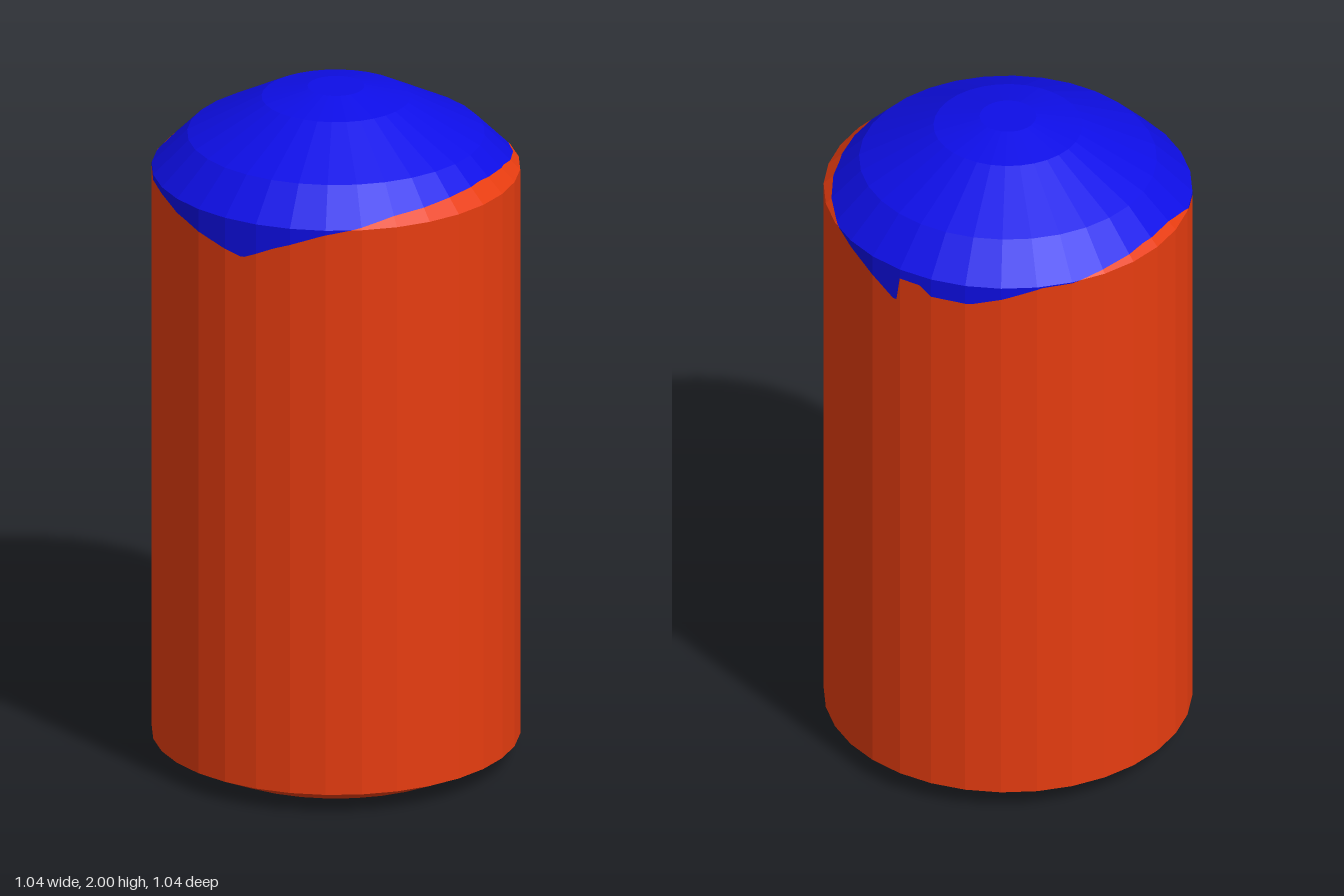
import * as THREE from 'three';

const SIDES = 32, STEPS = 8;          // facets round the body, paint samples per facet
const RIM = 1.76, SHOULDER = 1.86, R = 0.52;

// Height of the ragged paint edge by compass angle (0 = front, 90 = model's left)
const EDGE = [
  [-180, 1.757], [-168, 1.77], [-150, 1.782], [-135, 1.782], [-124, 1.765], [-120, 1.75],
  [-90, 1.74], [-75, 1.71], [-60, 1.675], [-50, 1.652], [-39, 1.695], [-23, 1.745], [0, 1.785],
  [23, 1.8], [40, 1.806], [60, 1.797], [67, 1.788], [90, 1.765], [101, 1.74], [113, 1.695],
  [121, 1.653], [122.5, 1.655], [123.5, 1.73], [131, 1.728], [135, 1.702], [148, 1.7],
  [160, 1.728], [170, 1.755], [180, 1.757],
];

function edgeHeight(deg) {
  const i = Math.max(1, EDGE.findIndex((p) => p[0] >= deg));
  const [a0, y0] = EDGE[i - 1], [a1, y1] = EDGE[i];
  return y0 + (y1 - y0) * (deg - a0) / (a1 - a0);
}

// Point on a 32-sided ring, angle given in sample steps
function ringPoint(step, r, y) {
  const facet = Math.floor(step / STEPS), t = (step - facet * STEPS) / STEPS;
  const a0 = facet * 2 * Math.PI / SIDES, a1 = (facet + 1) * 2 * Math.PI / SIDES;
  return new THREE.Vector3(
    r * THREE.MathUtils.lerp(Math.sin(a0), Math.sin(a1), t), y,
    r * THREE.MathUtils.lerp(Math.cos(a0), Math.cos(a1), t));
}

// Faceted band between two rings; lower and upper give [radius, height] at an angle
function band(lower, upper, stride = 1) {
  const pos = [], half = SIDES * STEPS / 2;
  const tri = (a, b, c) => {
    const area = new THREE.Vector3().crossVectors(b.clone().sub(a), c.clone().sub(a)).length();
    if (area > 1e-9) for (const p of [a, b, c]) pos.push(p.x, p.y, p.z);
  };
  for (let s = -half; s < half; s += stride) {
    const at = (f, k) => ringPoint(k, ...f(k * 180 / half));
    const a = at(lower, s), b = at(lower, s + stride);
    const c = at(upper, s + stride), d = at(upper, s);
    tri(a, b, c);
    tri(a, c, d);
  }
  const g = new THREE.BufferGeometry();
  g.setAttribute('position', new THREE.Float32BufferAttribute(pos, 3));
  g.computeVertexNormals();
  return g;
}

export function createModel() {
  const red = new THREE.MeshStandardMaterial({ color: 0xf03f11 });
  red.name = 'orange red';
  const blue = new THREE.MeshStandardMaterial({ color: 0x0f0ff0 });
  blue.name = 'blue';
  const group = new THREE.Group();
  group.name = 'capsule';
  const add = (name, geometry, material) => {
    const mesh = new THREE.Mesh(geometry, material);
    mesh.name = name;
    group.add(mesh);
  };

  const ring = (r, y) => () => [r, y];
  const wallEdge = (deg) => [R, Math.min(RIM, edgeHeight(deg))];
  const slopeEdge = (deg) => {
    const y = Math.max(RIM, edgeHeight(deg));
    return [R - (y - RIM) * (R - 0.42) / (SHOULDER - RIM), y];
  };

  // Base with its bevel
  add('base', band(ring(0, 0), ring(0.39, 0), STEPS).scale(1, -1, 1), blue);
  group.children[0].geometry.dispose();
  group.children[0].geometry = new THREE.CircleGeometry(0.39, SIDES).rotateX(Math.PI / 2);
  add('baseBevel', band(ring(0.39, 0), ring(R, 0.06), STEPS), red);

  // Straight wall and first slope, split along the paint edge
  add('wall', band(ring(R, 0.06), wallEdge), red);
  add('wallPaint', band(wallEdge, ring(R, RIM)), blue);
  add('slopeLower', band(ring(R, RIM), slopeEdge), red);
  add('slopePaint', band(slopeEdge, ring(0.42, SHOULDER)), blue);

  // Domed cap
  const dome = [[0.42, SHOULDER], [0.21, 1.97], [0.08, 2], [0, 2]];
  for (let i = 0; i < dome.length - 1; i++) {
    add('dome' + (i + 1), band(ring(...dome[i]), ring(...dome[i + 1]), STEPS), blue);
  }
  return group;
}
